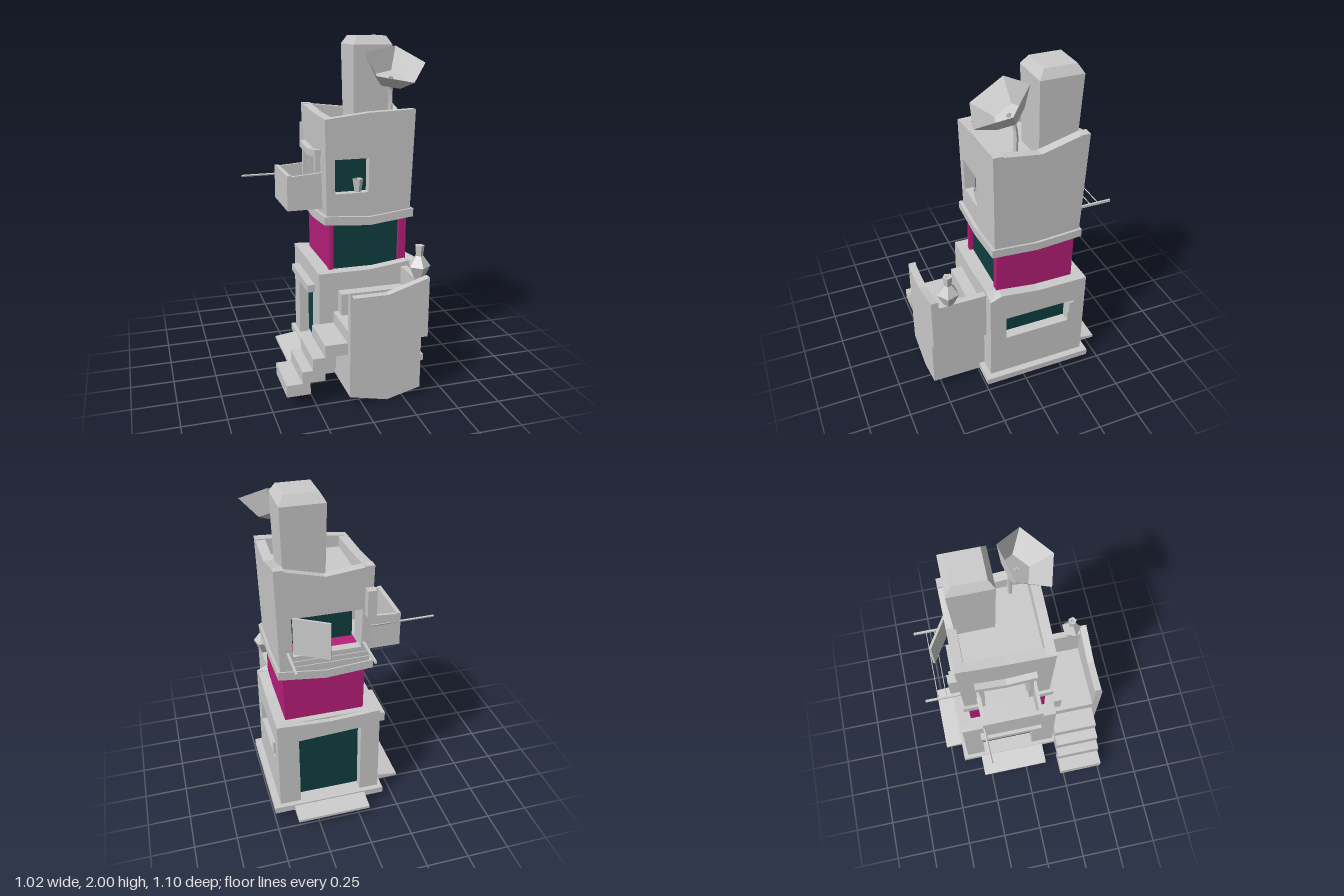
import * as THREE from 'three';

const mat = (color) => new THREE.MeshStandardMaterial({ color, flatShading: true, side: THREE.DoubleSide });

export function createModel() {
  const root = new THREE.Group();
  const grey = mat(0xcccccc), teal = mat(0x0f3f3f), pink = mat(0xb81f7a);

  const add = (name, geo, m = grey) => {
    const mesh = new THREE.Mesh(geo, m);
    mesh.name = name;
    root.add(mesh);
    return mesh;
  };
  // Box given by its limits, with an optional vertex rule
  const box = (name, [x0, x1], [y0, y1], [z0, z1], m = grey, rule, seg = 1) => {
    const g = new THREE.BoxGeometry(x1 - x0, y1 - y0, z1 - z0, seg, 1, seg);
    g.translate((x0 + x1) / 2, (y0 + y1) / 2, (z0 + z1) / 2);
    if (rule) bend(g, rule);
    return add(name, g, m);
  };
  const bend = (g, rule) => {
    const p = g.attributes.position, v = new THREE.Vector3();
    for (let i = 0; i < p.count; i++) {
      rule(v.fromBufferAttribute(p, i));
      p.setXYZ(i, v.x, v.y, v.z);
    }
    g.computeVertexNormals();
    return g;
  };
  // Wall from a bottom height and a top line, with four-cornered holes
  const wall = (name, side, at, t, bottom, top, holes = [], m = grey, rule) => {
    const pts = [[top[0][0], bottom], [top[top.length - 1][0], bottom], ...[...top].reverse()];
    const shape = new THREE.Shape(pts.map((p) => new THREE.Vector2(...p)));
    for (const [a, b, c, d, d2 = d] of holes)
      shape.holes.push(new THREE.Path([[a, c], [a, d], [b, d2], [b, c]].map((p) => new THREE.Vector2(...p))));
    const g = new THREE.ExtrudeGeometry(shape, { depth: t, bevelEnabled: false });
    if (side === 'front') g.translate(0, 0, at - t);
    if (side === 'back') g.translate(0, 0, at);
    if (side === 'right' || side === 'left') {
      g.rotateY(-Math.PI / 2);
      g.translate(side === 'right' ? at : at + t, 0, 0);
    }
    if (rule) bend(g, rule);
    return add(name, g, m);
  };
  const rod = (name, a, b, r) => {
    const curve = new THREE.LineCurve3(new THREE.Vector3(...a), new THREE.Vector3(...b));
    return add(name, new THREE.TubeGeometry(curve, 1, r, 5));
  };

  // Base slab and sloping doorsteps
  box('baseSlab', [-0.18, 0.5], [0.05, 0.09], [-0.42, 0.255]);
  box('backDoorstep', [-0.06, 0.38], [0.05, 0.088], [-0.53, -0.38], grey, (v) => {
    if (v.z < -0.5 && v.y > 0.06) v.y = 0.066;
  });
  box('sideDoorstep', [-0.315, -0.15], [0.05, 0.088], [-0.3, 0.14], grey, (v) => {
    if (v.x < -0.3 && v.y > 0.06) v.y = 0.066;
  });

  // Ground storey
  wall('groundFrontWall', 'front', 0.22, 0.06, 0.07, [[-0.155, 0.67], [0.15, 0.67], [0.39, 0.7], [0.46, 0.67]]);
  wall('groundBackWall', 'back', -0.39, 0.06, 0.07, [[-0.155, 0.67], [0.15, 0.655], [0.46, 0.67]],
    [[-0.04, 0.335, 0.09, 0.57, 0.55]]);
  wall('groundRightWall', 'right', 0.46, 0.06, 0.07, [[-0.39, 0.67], [-0.08, 0.67], [0.15, 0.7], [0.22, 0.67]],
    [[-0.285, 0.12, 0.36, 0.515]]);
  wall('groundLeftWall', 'left', -0.155, 0.06, 0.07, [[-0.39, 0.67], [0.22, 0.67]], [[-0.27, 0.07, 0.09, 0.54]]);
  box('groundRoof', [-0.12, 0.43], [0.6, 0.665], [-0.36, 0.19]);
  box('groundDoors', [-0.085, 0.385], [0.08, 0.61], [-0.325, 0.15], teal);
  box('sideDoorCanopy', [-0.2, -0.15], [0.525, 0.57], [-0.28, 0.12]);
  box('windowHinge', [0.45, 0.472], [0.43, 0.51], [-0.315, -0.285]);

  // Front landing with keel-shaped foot, parapets and inner step
  wall('landingFoot', 'front', 0.55, 0.34, 0.05, [[-0.07, 0.36], [0.35, 0.36]]);
  const keel = new THREE.Shape([[-0.07, 0.05], [0.15, 0], [0.35, 0.05]].map((p) => new THREE.Vector2(...p)));
  add('landingKeel', bend(new THREE.ExtrudeGeometry(keel, { depth: 0.33, bevelEnabled: false }).translate(0, 0, 0.22),
    (v) => { if (v.z < 0.3) v.y = 0.048; }));
  box('landingFloor', [-0.07, 0.37], [0.36, 0.43], [0.21, 0.53]);
  wall('landingFrontWall', 'front', 0.55, 0.045, 0.36, [[-0.07, 0.66], [-0.05, 0.64], [0.15, 0.64], [0.39, 0.715]]);
  box('landingSideWall', [0.35, 0.39], [0.36, 0.67], [0.2, 0.51]);
  box('landingInnerStep', [-0.04, 0.36], [0.42, 0.56], [0.21, 0.29]);

  // Stairs climbing to the landing
  [[-0.42, -0.285], [-0.33, -0.2], [-0.27, -0.14], [-0.2, -0.06]].forEach((x, i) =>
    box('stairStep', x, [0.08 + i * 0.07, 0.15 + i * 0.07], [0.22, 0.505]));

  // Vase on the parapet
  const vase = [[0, 0.67], [0.028, 0.67], [0.065, 0.75], [0.022, 0.81], [0.028, 0.87], [0.012, 0.87], [0, 0.84]];
  add('vase', new THREE.LatheGeometry(vase.map((p) => new THREE.Vector2(...p)), 5).translate(0.37, 0, 0.44));

  // Middle storey
  box('middleStorey', [-0.07, 0.395], [0.62, 0.97], [-0.32, 0.115], pink, (v) => {
    if (v.y > 0.9) v.x += v.x < 0 ? -0.007 : 0.005;
  });
  wall('middleFrontFrame', 'front', 0.16, 0.05, 0.62, [[-0.075, 0.97], [0.4, 0.97]], [[-0.05, 0.355, 0.64, 0.955]], pink);
  box('middleFrontPanel', [-0.06, 0.37], [0.63, 0.965], [0.1, 0.135], teal);

  // Wavy ledge between storeys
  box('ledge', [-0.115, 0.43], [0.955, 1.005], [-0.35, 0.195], grey, (v) => {
    if (Math.abs(v.x - 0.1575) < 0.01 || Math.abs(v.z + 0.0775) < 0.01) v.y -= 0.02;
    if (v.x > 0.4) v.y += 0.012;
  }, 2);

  // Top storey, flaring slightly upward
  const flare = (v) => {
    const s = 1 + 0.09 * (v.y - 1.6);
    v.x = 0.16 + (v.x - 0.16) * s;
    v.z = -0.082 + (v.z + 0.082) * s;
  };
  const t = 0.055;
  wall('towerFrontWall', 'front', 0.19, t, 0.97, [[-0.11, 1.56], [0.155, 1.59], [0.43, 1.6]],
    [[-0.065, 0.155, 1.13, 1.33]], grey, flare);
  wall('towerBackWall', 'back', -0.355, t, 0.97, [[-0.11, 1.595], [0.16, 1.565], [0.375, 1.62], [0.43, 1.63]],
    [[-0.06, 0.35, 1.1, 1.34]], grey, flare);
  wall('towerRightWall', 'right', 0.43, t, 0.97, [[-0.355, 1.63], [-0.31, 1.63], [-0.08, 1.565], [0.19, 1.6]], [], grey, flare);
  wall('towerLeftWall', 'left', -0.11, t, 0.97, [[-0.355, 1.595], [-0.08, 1.57], [0.19, 1.56]],
    [[-0.22, 0.04, 1.05, 1.34]], grey, flare);
  box('towerRoof', [-0.08, 0.4], [1.46, 1.5], [-0.33, 0.16]);
  box('towerInterior', [-0.035, 0.35], [1.0, 1.47], [-0.2, 0.115], teal);
  box('windowFloor', [-0.04, 0.35], [1.05, 1.095], [-0.3, -0.19], pink);
  add('cup', new THREE.CylinderGeometry(0.032, 0.02, 0.075, 6, 1, true).translate(0.1, 1.168, 0.145));

  // Back shutter, corner post and clothes lines
  const shutter = add('backShutter', new THREE.BoxGeometry(0.21, 0.22, 0.014), grey);
  shutter.position.set(0.25, 1.24, -0.41);
  shutter.rotation.y = -Math.atan2(0.11, 0.18);
  box('cornerPost', [-0.11, -0.06], [1.31, 1.47], [-0.4, -0.345]);
  for (const x of [-0.06, 0.37]) box('clothesRod', [x - 0.006, x + 0.006], [1.118, 1.132], [-0.553, -0.33]);
  for (const z of [-0.43, -0.478]) rod('clothesLine', [-0.06, 1.125, z], [0.37, 1.125, z], 0.003);

  // Side balcony, door frame and pole
  box('balconyFloor', [-0.305, -0.09], [1.025, 1.05], [-0.26, 0.085]);
  box('balconyOuterWall', [-0.305, -0.28], [1.03, 1.232], [-0.26, 0.085]);
  for (const z of [-0.26, 0.065]) box('balconyEndWall', [-0.29, -0.095], [1.03, 1.225], [z, z + 0.02], grey, (v) => {
    if (v.x > -0.2 && v.y > 1.1) v.y += 0.015;
  });
  for (const z of [-0.245, 0.04]) box('balconyDoorJamb', [-0.135, -0.09], [1.04, 1.35], [z, z + 0.025]);
  box('balconyDoorCanopy', [-0.142, -0.09], [1.335, 1.375], [-0.265, 0.085], grey, (v) => {
    if (Math.abs(v.z + 0.09) < 0.02) v.y -= 0.02;
  }, 2);
  rod('balconyPole', [-0.51, 1.175, -0.25], [-0.12, 1.175, -0.258], 0.007);

  // Chimney with bevelled cap
  const chimneyRows = [[1.48, 0.112, 0.108], [1.95, 0.121, 0.124], [2, 0.092, 0.092]];
  chimneyRows.slice(1).forEach(([y1, w1, d1], i) => {
    const [y0, w0, d0] = chimneyRows[i];
    box(i ? 'chimneyCap' : 'chimney', [-1, 1], [y0, y1], [-1, 1], grey, (v) => {
      const high = v.y > (y0 + y1) / 2;
      v.x = 0.26 + v.x * (high ? w1 : w0);
      v.z = -0.2 + v.z * (high ? d1 : d0);
    });
  });

  // Five-sided dish on a bent stand
  const rim = [[0.17, 0.03], [0.38, -0.025], [0.51, 0.12], [0.38, 0.275], [0.17, 0.215]]
    .map(([x, z]) => [x, 1.93 - 0.633 * z, z]);
  const c = [0.322, 1.852, 0.123];
  const foot = rim.map((p) => p.map((q, k) => c[k] + (q - c[k]) * 0.5 - [0, 0.093, 0.06][k]));
  const centre = c.map((q, k) => q - [0, 0.093, 0.06][k]);
  const verts = [];
  for (let i = 0; i < 5; i++) {
    const j = (i + 1) % 5;
    verts.push(...rim[i], ...foot[j], ...rim[j], ...rim[i], ...foot[i], ...foot[j], ...foot[i], ...centre, ...foot[j]);
  }
  const dish = new THREE.BufferGeometry();
  dish.setAttribute('position', new THREE.Float32BufferAttribute(verts, 3));
  dish.computeVertexNormals();
  add('dish', dish);
  const stand = new THREE.CatmullRomCurve3([[0.335, 1.48, 0.03], [0.335, 1.68, 0.03], [0.33, 1.73, 0.045], [0.322, 1.77, 0.065]]
    .map((p) => new THREE.Vector3(...p)));
  add('dishStand', new THREE.TubeGeometry(stand, 8, 0.013, 5));

  return root;
}
